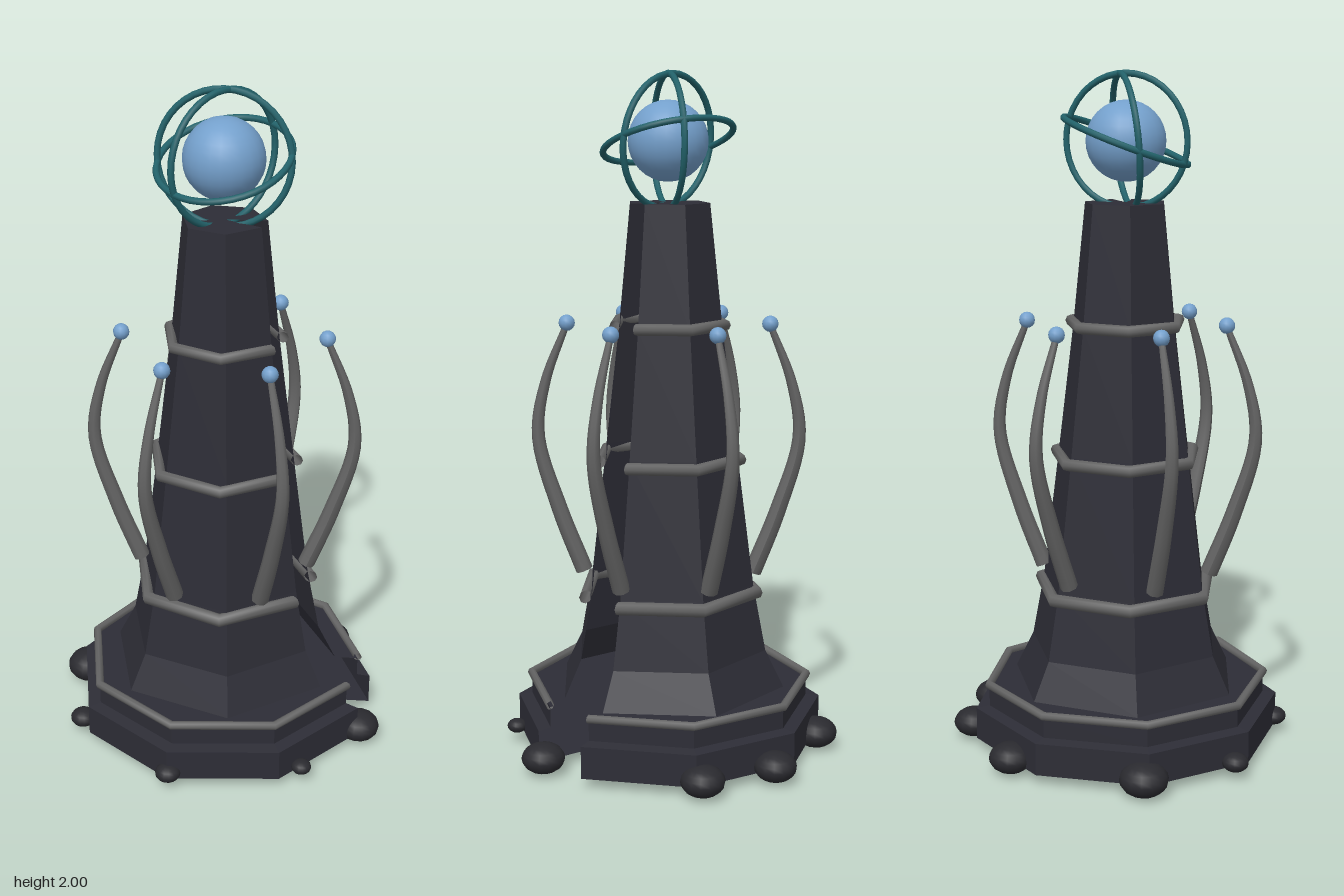
import * as THREE from 'three';

const mat = (name, color, extra = {}) => {
  const m = new THREE.MeshStandardMaterial({ color, ...extra });
  m.name = name;
  return m;
};

export function createModel() {
  const stone = mat('dark stone', 0x2d2d36, { flatShading: true, side: THREE.DoubleSide });
  const rock = mat('rock', 0x2a2a2f);
  const trim = mat('grey trim', 0x646464, { side: THREE.DoubleSide });
  const teal = mat('teal metal', 0x22626a);
  const blue = mat('blue glow', 0x74a0cc);

  const model = new THREE.Group();
  const tower = new THREE.Group();
  tower.name = 'tower';
  tower.position.set(0.008, 0, 0.013);
  model.add(tower);

  const add = (parent, name, geometry, material, x = 0, y = 0, z = 0) => {
    const mesh = new THREE.Mesh(geometry, material);
    mesh.name = name;
    mesh.position.set(x, y, z);
    parent.add(mesh);
    return mesh;
  };

  // Hollow shells turned not quite all the way round, leaving a split on the +x side
  const splitLathe = (profile, segments, arc) => new THREE.LatheGeometry(
    profile.map(([r, y]) => new THREE.Vector2(r, y)), segments, Math.PI / 2, arc);
  add(tower, 'base', splitLathe(
    [[0, 0.03], [0.46, 0.03], [0.46, 0.125], [0.42, 0.13], [0.42, 0.19], [0, 0.19]], 8, 5.9), stone);
  add(tower, 'shaft', splitLathe(
    [[0.35, 0.19], [0.295, 0.3], [0.257, 0.5], [0.206, 0.9], [0.16, 1.27], [0.123, 1.625], [0, 1.625]], 6, 5.8), stone);

  // Split bands around the base and shaft
  const band = (name, r, tube, y, segments, arc) => add(tower, name,
    new THREE.TorusGeometry(r, tube, 8, segments, arc).rotateX(-Math.PI / 2), trim, 0, y, 0);
  band('baseBand', 0.42, 0.013, 0.195, 8, 5.9);
  band('lowerBand', 0.267, 0.02, 0.48, 6, 5.7);
  band('middleBand', 0.217, 0.018, 0.88, 6, 5.7);
  band('upperBand', 0.169, 0.017, 1.275, 6, 5.7);

  // Six curved tapering tendrils with glowing tips
  const path = new THREE.CatmullRomCurve3(
    [[0.252, 0.53], [0.325, 0.72], [0.385, 0.94], [0.362, 1.1], [0.297, 1.272]]
      .map(([x, y]) => new THREE.Vector3(x, y, 0)));
  const steps = 24, sides = 8;
  const tendril = new THREE.TubeGeometry(path, steps, 0.026, sides, false);
  const pos = tendril.attributes.position;
  const v = new THREE.Vector3();
  for (let i = 0; i <= steps; i++) {
    const centre = path.getPointAt(i / steps);
    const k = 1 - 0.65 * Math.pow(i / steps, 1.6);
    for (let j = 0; j <= sides; j++) {
      const n = i * (sides + 1) + j;
      v.fromBufferAttribute(pos, n).sub(centre).multiplyScalar(k).add(centre);
      pos.setXYZ(n, v.x, v.y, v.z);
    }
  }
  tendril.computeVertexNormals();
  const tip = new THREE.SphereGeometry(0.024, 12, 8);
  for (let i = 0; i < 6; i++) {
    const arm = new THREE.Group();
    arm.name = 'tendrilArm';
    arm.rotation.y = i * Math.PI / 3;
    add(arm, 'tendril', tendril, trim);
    add(arm, 'tendrilTip', tip, blue, 0.297, 1.275, 0);
    tower.add(arm);
  }

  // Orb with three tilted hoops
  add(tower, 'orb', new THREE.SphereGeometry(0.116, 24, 16), blue, 0, 1.8, 0);
  const hoop = new THREE.TorusGeometry(0.19, 0.0095, 8, 40);
  [[-0.16, 1, 0.34], [-0.15, 0.09, 1], [1.05, 0, 1]].forEach((n) => {
    add(tower, 'hoop', hoop, teal, 0, 1.8, 0).quaternion.setFromUnitVectors(
      new THREE.Vector3(0, 0, 1), new THREE.Vector3(...n).normalize());
  });

  // Squashed boulders round the foot: x, z, radius
  [[-0.165, -0.4, 0.064], [0.137, -0.43, 0.062], [0.337, -0.31, 0.064], [-0.435, -0.088, 0.071],
    [-0.412, 0.2, 0.039], [-0.12, 0.45, 0.038], [0.272, 0.388, 0.03], [0.438, 0.167, 0.063]]
    .forEach(([x, z, r]) => {
      add(model, 'boulder', new THREE.SphereGeometry(r, 14, 10), rock, x, 0.05, z).scale.y = 0.7;
    });

  return model;
}
